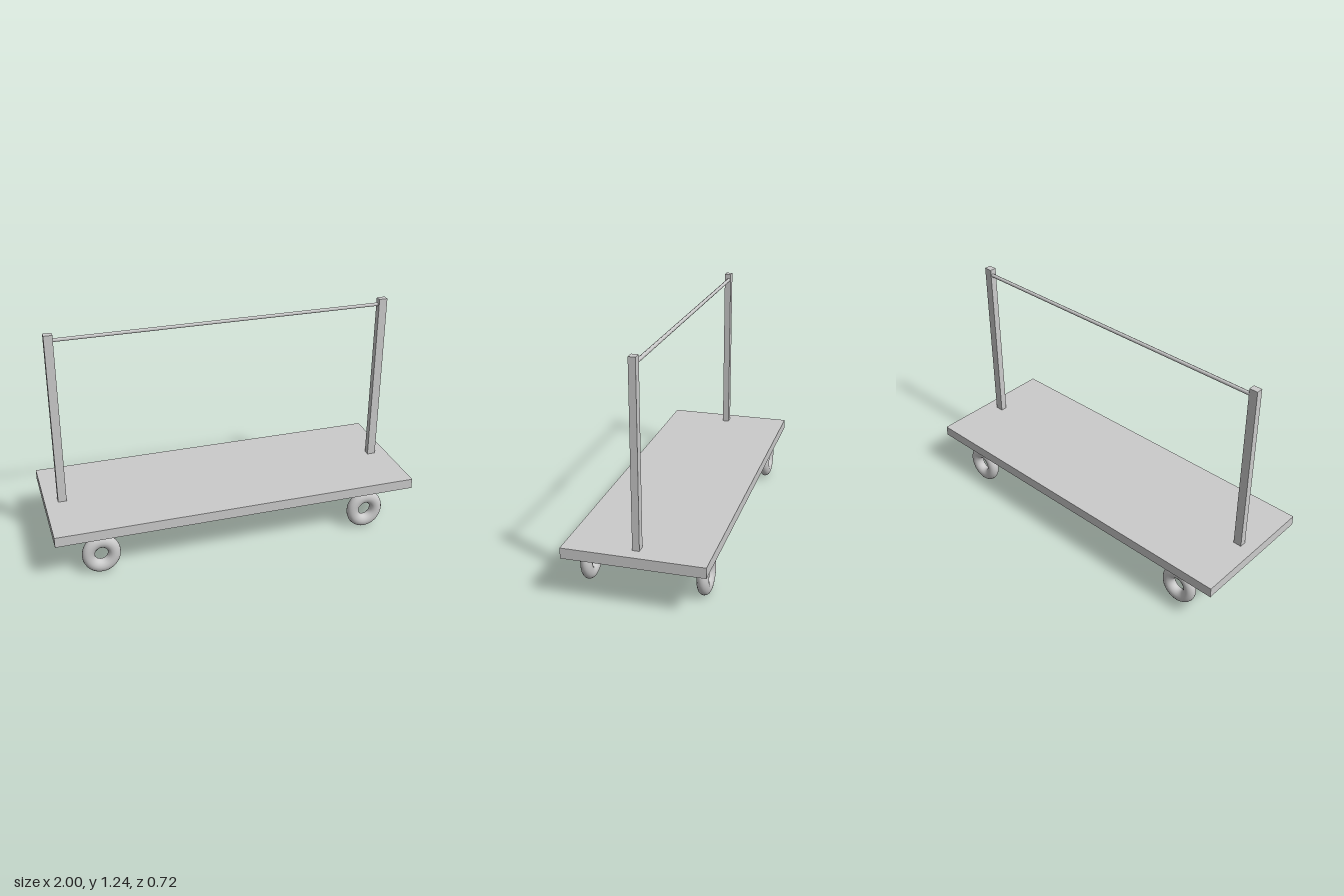
import * as THREE from 'three';

export function createModel() {
  const model = new THREE.Group();
  model.name = 'platformCart';
  const material = new THREE.MeshStandardMaterial({ color: 0xcccccc });

  const add = (name, geometry, x, y, z) => {
    const mesh = new THREE.Mesh(geometry, material);
    mesh.name = name;
    mesh.position.set(x, y, z);
    model.add(mesh);
    return mesh;
  };

  // Flat load deck
  add('deck', new THREE.BoxGeometry(2, 0.056, 0.722), 0, 0.262, 0);

  // Upright posts at both ends
  const postGeometry = new THREE.BoxGeometry(0.046, 0.957, 0.036);
  add('leftPost', postGeometry, 0.908, 0.7665, 0.002);
  add('rightPost', postGeometry, -0.906, 0.7665, 0.002);

  // Thin rail between the posts
  const rail = add('rail', new THREE.CylinderGeometry(0.01, 0.01, 1.78, 8), 0, 1.21, -0.004);
  rail.rotation.z = Math.PI / 2;

  // Ring wheels, slightly taller than wide
  const wheelGeometry = new THREE.TorusGeometry(0.069, 0.034, 16, 40);
  wheelGeometry.scale(1, 1.08, 0.9);
  for (const [side, x] of [['Left', 0.743], ['Right', -0.758]]) {
    for (const [end, z] of [['front', 0.304], ['back', -0.295]]) {
      add(`${end}${side}Wheel`, wheelGeometry, x, 0.115, z);
    }
  }

  return model;
}
